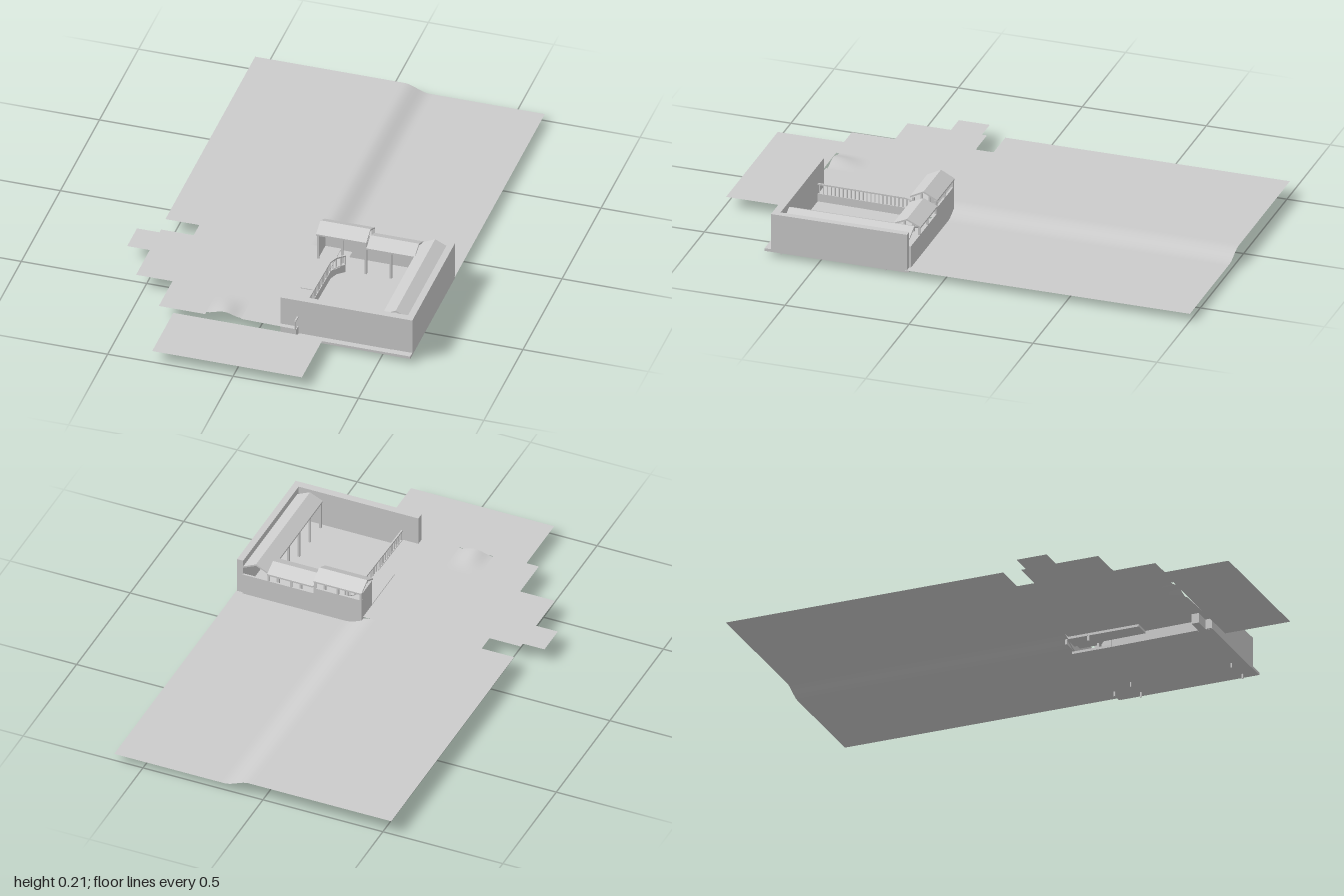
import * as THREE from 'three';

const grey = new THREE.MeshStandardMaterial({ color: 0xcccccc, flatShading: true });
const sheetMat = new THREE.MeshStandardMaterial({ color: 0xcccccc, side: THREE.DoubleSide });

export function createModel() {
  const model = new THREE.Group();

  const add = (name, geometry, material = grey, parent = model) => {
    const mesh = new THREE.Mesh(geometry, material);
    mesh.name = name;
    parent.add(mesh);
    return mesh;
  };
  // box given by its extents on each axis
  const box = (name, x0, x1, y0, y1, z0, z1, parent = model) => {
    const mesh = add(name, new THREE.BoxGeometry(x1 - x0, y1 - y0, z1 - z0), grey, parent);
    mesh.position.set((x0 + x1) / 2, (y0 + y1) / 2, (z0 + z1) / 2);
    return mesh;
  };
  // box standing on a line between two plan points
  const beam = (name, a, b, y0, y1, t, parent) => {
    const dx = b[0] - a[0], dz = b[1] - a[1];
    const mesh = add(name, new THREE.BoxGeometry(t, y1 - y0, Math.hypot(dx, dz)), grey, parent);
    mesh.position.set((a[0] + b[0]) / 2, (y0 + y1) / 2, (a[1] + b[1]) / 2);
    mesh.rotation.y = Math.atan2(dx, dz);
  };
  // horizontal grid with a height rule
  const sheet = (name, x0, x1, z0, z1, nx, nz, height) => {
    const g = new THREE.PlaneGeometry(x1 - x0, z1 - z0, nx, nz).rotateX(-Math.PI / 2);
    g.translate((x0 + x1) / 2, 0, (z0 + z1) / 2);
    const p = g.attributes.position;
    for (let i = 0; i < p.count; i++) p.setY(i, height(p.getX(i), p.getZ(i)));
    g.computeVertexNormals();
    return add(name, g, sheetMat);
  };
  // chevron roof, ridge along +z of its own frame
  const gableRoof = (name, length, halfWidth, eave, ridge) => {
    const t = 0.007;
    const s = new THREE.Shape([
      [-halfWidth, eave], [-halfWidth, eave - t], [0, ridge - t],
      [halfWidth, eave - t], [halfWidth, eave], [0, ridge],
    ].map(([x, y]) => new THREE.Vector2(x, y)));
    return add(name, new THREE.ExtrudeGeometry(s, { depth: length, bevelEnabled: false }));
  };

  // Large rear ground with a soft step down towards +x
  sheet('rearGround', -0.535, 0.62, -1, 0.148, 60, 4,
    (x) => 0.06 - 0.03 * THREE.MathUtils.smoothstep(x, 0.06, 0.16));

  // Forecourt: stepped outline, leaving a bay for the mound
  const outline = [
    [-0.4, 0.148], [-0.4, 0.22], [-0.53, 0.22], [-0.53, 0.24], [-0.62, 0.24], [-0.62, 0.365],
    [-0.53, 0.365], [-0.53, 0.54], [-0.385, 0.54], [-0.385, 0.715], [-0.2, 0.715], [-0.2, 0.56],
    [-0.06, 0.56], [-0.06, 0.705], [0.16, 0.71], [0.168, 0.3], [0.21, 0.24], [0.21, 0.148],
  ];
  const court = new THREE.ShapeGeometry(
    new THREE.Shape(outline.map(([x, z]) => new THREE.Vector2(x, -z)))).rotateX(-Math.PI / 2);
  add('forecourt', court, sheetMat).position.y = 0.06;
  sheet('mound', -0.2, -0.06, 0.56, 0.7, 12, 10, (x, z) =>
    0.06 + 0.015 * Math.sin(Math.PI * (x + 0.2) / 0.14) ** 2
      * THREE.MathUtils.smoothstep(z, 0.56, 0.69));
  sheet('frontGround', -0.325, 0.272, 0.722, 0.992, 1, 1, () => 0.045);

  // Base slab, threshold and feet
  box('baseSlab', 0.165, 0.615, 0.02, 0.03, 0.135, 0.715);
  box('cornerBlock', 0.54, 0.618, 0.02, 0.031, 0.69, 0.716);
  box('terrace', 0.095, 0.165, 0.05, 0.063, 0.135, 0.44);
  for (const [x, z] of [[0.478, 0.66], [0.486, 0.24], [0.54, 0.15], [0.585, 0.66], [0.585, 0.24]])
    box('foot', x - 0.002, x + 0.002, 0, 0.021, z - 0.003, z + 0.003);

  // Outer walls
  box('frontWall', 0.093, 0.615, 0.02, 0.18, 0.66, 0.69);
  box('sideWall', 0.592, 0.618, 0.02, 0.18, 0.142, 0.69);

  // Retaining wall with railing along the terrace edge
  const railing = new THREE.Group();
  railing.name = 'railing';
  model.add(railing);
  const path = [[0.16, 0.718], [0.168, 0.3], [0.182, 0.265], [0.21, 0.24]];
  for (let i = 0; i < path.length - 1; i++) {
    const [a, b] = [path[i], path[i + 1]];
    beam('retainingWall', a, b, 0.02, 0.063, 0.007, railing);
    beam('topRail', a, b, 0.099, 0.105, 0.006, railing);
    const n = Math.max(2, Math.round(Math.hypot(b[0] - a[0], b[1] - a[1]) / 0.016));
    for (let k = 0; k <= n; k++) {
      const x = a[0] + (b[0] - a[0]) * k / n, z = a[1] + (b[1] - a[1]) * k / n;
      box('baluster', x - 0.002, x + 0.002, 0.06, 0.1, z - 0.002, z + 0.002, railing);
    }
  }

  // Rear gallery: parapet, posts, end wall and a two-level roof
  const rear = new THREE.Group();
  rear.name = 'rearGallery';
  model.add(rear);
  box('rearWallHigh', 0.095, 0.295, 0.03, 0.145, 0.135, 0.143, rear);
  box('rearWallLow', 0.295, 0.49, 0.03, 0.12, 0.135, 0.143, rear);
  box('endWall', 0.095, 0.101, 0.06, 0.175, 0.143, 0.232, rear);
  for (const [x, top] of [[0.1, 0.175], [0.195, 0.175], [0.29, 0.175], [0.39, 0.15], [0.484, 0.15]])
    for (const z of [0.139, 0.23])
      box('galleryPost', x - 0.004, x + 0.004, 0.03, top, z - 0.004, z + 0.004, rear);
  const levels = [['highRoof', 0.095, 0.295, 0.18, 0.208], ['lowRoof', 0.295, 0.488, 0.155, 0.18]];
  for (const [name, x0, x1, eave, ridge] of levels) {
    const roof = gableRoof(name, x1 - x0, 0.055, eave, ridge);
    roof.rotation.y = Math.PI / 2;
    roof.position.set(x0, 0, 0.187);
    rear.add(roof);
  }

  // Side gallery against the side wall
  const side = new THREE.Group();
  side.name = 'sideGallery';
  model.add(side);
  const sideRoof = gableRoof('sideRoof', 0.505, 0.053, 0.155, 0.18);
  sideRoof.position.set(0.538, 0, 0.14);
  side.add(sideRoof);
  for (let i = 0; i < 5; i++) {
    const z = 0.24 + i * 0.1;
    box('galleryPost', 0.488, 0.496, 0.03, 0.152, z - 0.004, z + 0.004, side);
  }
  box('sideParapet', 0.49, 0.592, 0.03, 0.12, 0.135, 0.143, side);
  return model;
}
